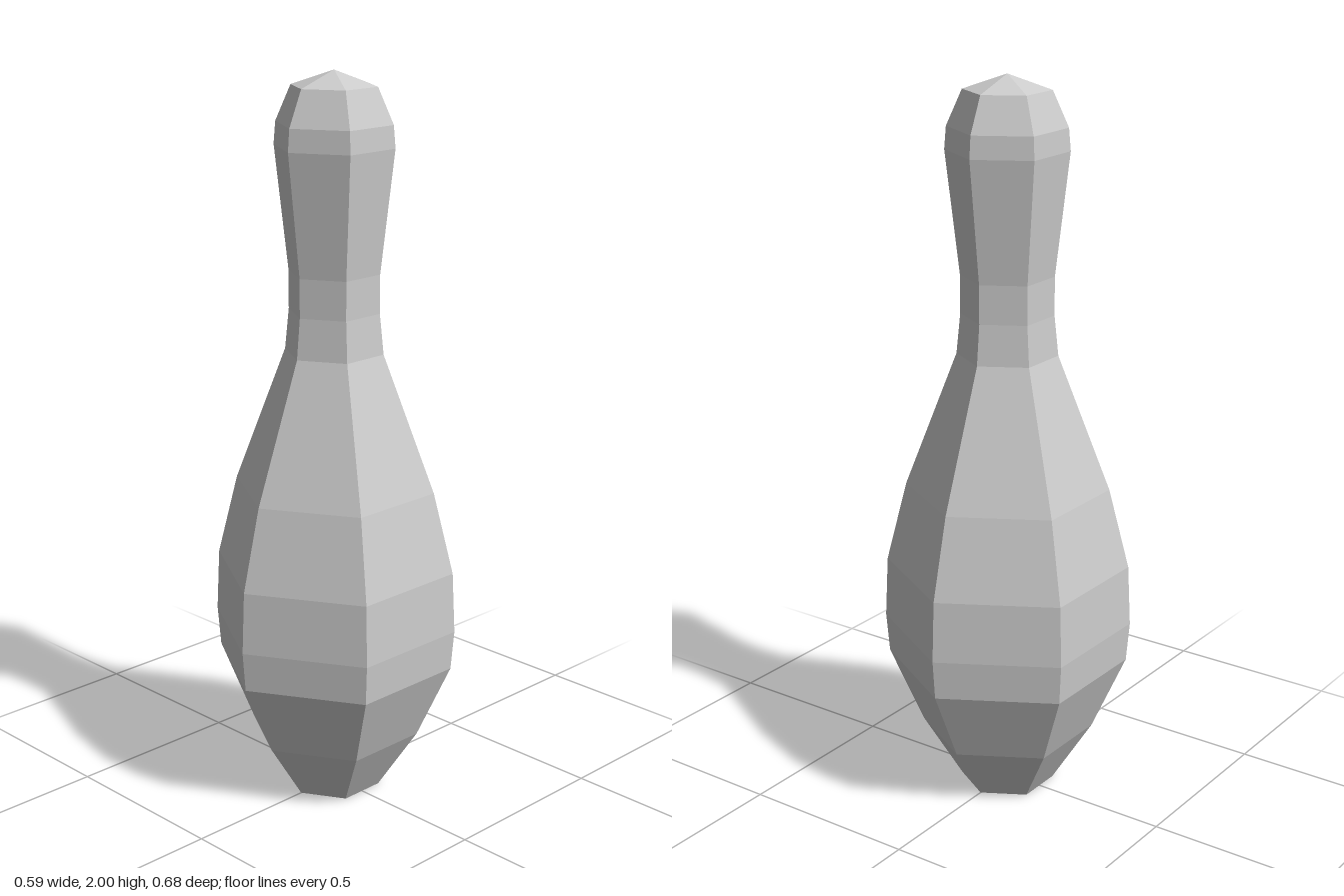
import * as THREE from 'three';

export function createModel() {
  const group = new THREE.Group();
  const material = new THREE.MeshStandardMaterial({ color: 0xcccccc, flatShading: true });

  // Profile from the flat base up to the pointed crown: [corner radius, height]
  const profile = [
    [0, 0], [0.13, 0], [0.24, 0.17], [0.333, 0.38], [0.342, 0.49],
    [0.334, 0.66], [0.278, 0.885], [0.136, 1.26], [0.125, 1.37],
    [0.125, 1.475], [0.163, 1.805], [0.158, 1.865], [0.116, 1.96], [0, 2],
  ].map(([r, y]) => new THREE.Vector2(r, y));

  // Six-sided pin with corners on the front and back
  const pin = new THREE.Mesh(new THREE.LatheGeometry(profile, 6), material);
  pin.name = 'bowlingPin';
  group.add(pin);

  return group;
}
